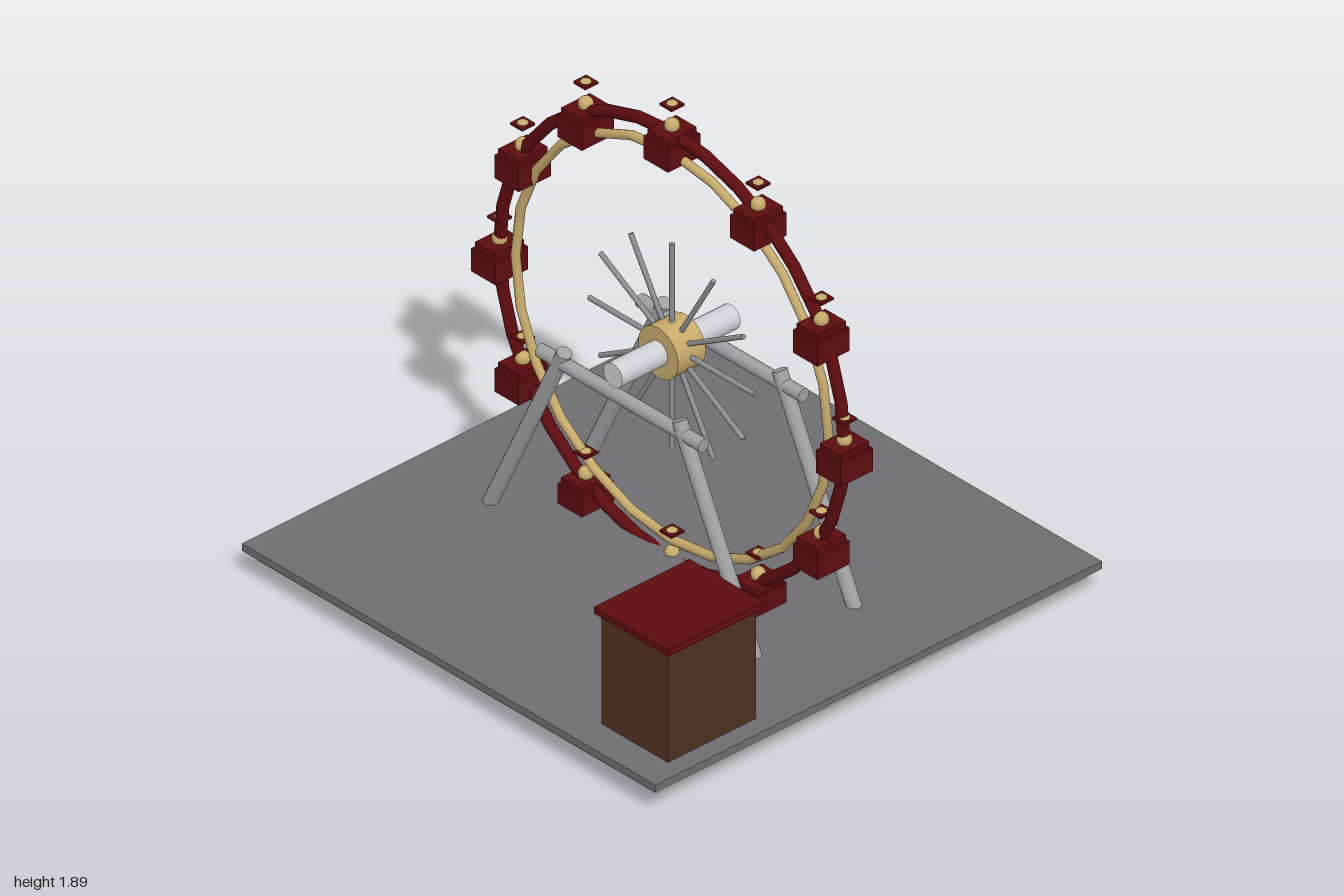
import * as THREE from 'three';

const mat = (name, color) => {
  const m = new THREE.MeshStandardMaterial({ color });
  m.name = name;
  return m;
};

export function createModel() {
  const red = mat('dark red', 0x5e0c0f);
  const gold = mat('gold', 0xc6aa6a);
  const cream = mat('cream', 0xd2c8a6);
  const slate = mat('slate grey', 0x6e6d72);
  const steel = mat('steel grey', 0x9fa1a3);
  const spokeGrey = mat('spoke grey', 0x8e8f92);
  const silver = mat('silver', 0xcdd0d5);
  const brown = mat('brown', 0x513122);

  const model = new THREE.Group();
  model.name = 'ferrisWheel';

  const add = (parent, name, geometry, material, x = 0, y = 0, z = 0) => {
    const mesh = new THREE.Mesh(geometry, material);
    mesh.name = name;
    mesh.position.set(x, y, z);
    parent.add(mesh);
    return mesh;
  };
  const box = (w, h, d) => new THREE.BoxGeometry(w, h, d);

  // Round bar between two points
  const bar = (parent, name, from, to, radius, material, sides = 16) => {
    const a = new THREE.Vector3(...from), b = new THREE.Vector3(...to);
    const dir = b.clone().sub(a);
    const mesh = add(parent, name, new THREE.CylinderGeometry(radius, radius, dir.length(), sides), material);
    mesh.position.copy(a).add(b).multiplyScalar(0.5);
    mesh.quaternion.setFromUnitVectors(new THREE.Vector3(0, 1, 0), dir.normalize());
    return mesh;
  };

  // Platform
  add(model, 'platformTop', box(2, 0.028, 2), slate, 0, 0.119, 0);
  add(model, 'platformBase', box(1.93, 0.036, 1.93), cream, 0, 0.087, 0);

  // Ticket booth with its raised roof
  const booth = new THREE.Group();
  booth.name = 'ticketBooth';
  booth.position.set(-0.679, 0, 0.766);
  add(booth, 'boothBody', box(0.395, 0.42, 0.322), brown, 0, 0.34, 0);
  add(booth, 'boothRoof', box(0.428, 0.026, 0.358), red, 0, 0.575, 0);
  model.add(booth);

  // Support frames
  for (const x of [-0.224, 0.224]) {
    const frame = new THREE.Group();
    frame.name = x < 0 ? 'rightFrame' : 'leftFrame';
    for (const s of [-1, 1]) bar(frame, 'leg', [x, 0.07, s * 0.666], [x, 0.88, s * 0.278], 0.027, steel);
    bar(frame, 'crossbeam', [x, 0.835, -0.395], [x, 0.835, 0.395], 0.025, steel);
    model.add(frame);
  }

  // Wheel: rims, hub, axle and spokes
  const HUB_Y = 0.94, RIM = 0.834;
  const wheel = new THREE.Group();
  wheel.name = 'wheel';
  wheel.position.y = HUB_Y;
  add(wheel, 'outerRim', new THREE.TorusGeometry(RIM, 0.022, 10, 32), red).rotation.y = Math.PI / 2;
  add(wheel, 'innerRim', new THREE.TorusGeometry(0.757, 0.017, 10, 24), gold).rotation.y = Math.PI / 2;
  bar(wheel, 'hub', [-0.062, 0, 0], [0.062, 0, 0], 0.097, gold, 24);
  bar(wheel, 'axle', [-0.265, 0, 0], [0.265, 0, 0], 0.046, silver, 24);
  for (let i = 0; i < 6; i++) {
    const a = i * Math.PI / 6, y = 0.4 * Math.sin(a), z = 0.4 * Math.cos(a);
    bar(wheel, 'spoke', [0, -y, -z], [0, y, z], 0.0095, spokeGrey, 8);
  }
  model.add(wheel);

  // Twelve upright cabins, each with a small canopy above
  for (let i = 0; i < 12; i++) {
    const a = i * Math.PI / 6;
    const cabin = new THREE.Group();
    cabin.name = 'cabin';
    cabin.position.set(0, RIM * Math.sin(a), RIM * Math.cos(a));
    add(cabin, 'cabinBody', box(0.145, 0.09, 0.118), red, 0, -0.053, 0);
    add(cabin, 'cabinRim', box(0.128, 0.026, 0.1), red, 0, 0.004, 0);
    add(cabin, 'lamp', new THREE.SphereGeometry(0.027, 14, 10), gold, 0, 0.029, 0);
    add(cabin, 'canopyNeck', box(0.03, 0.012, 0.03), red, 0, 0.1, 0);
    add(cabin, 'canopy', box(0.058, 0.009, 0.058), red, 0, 0.11, 0);
    add(cabin, 'finial', new THREE.SphereGeometry(0.02, 12, 8), gold, 0, 0.114, 0).scale.y = 0.5;
    wheel.add(cabin);
  }

  return model;
}
